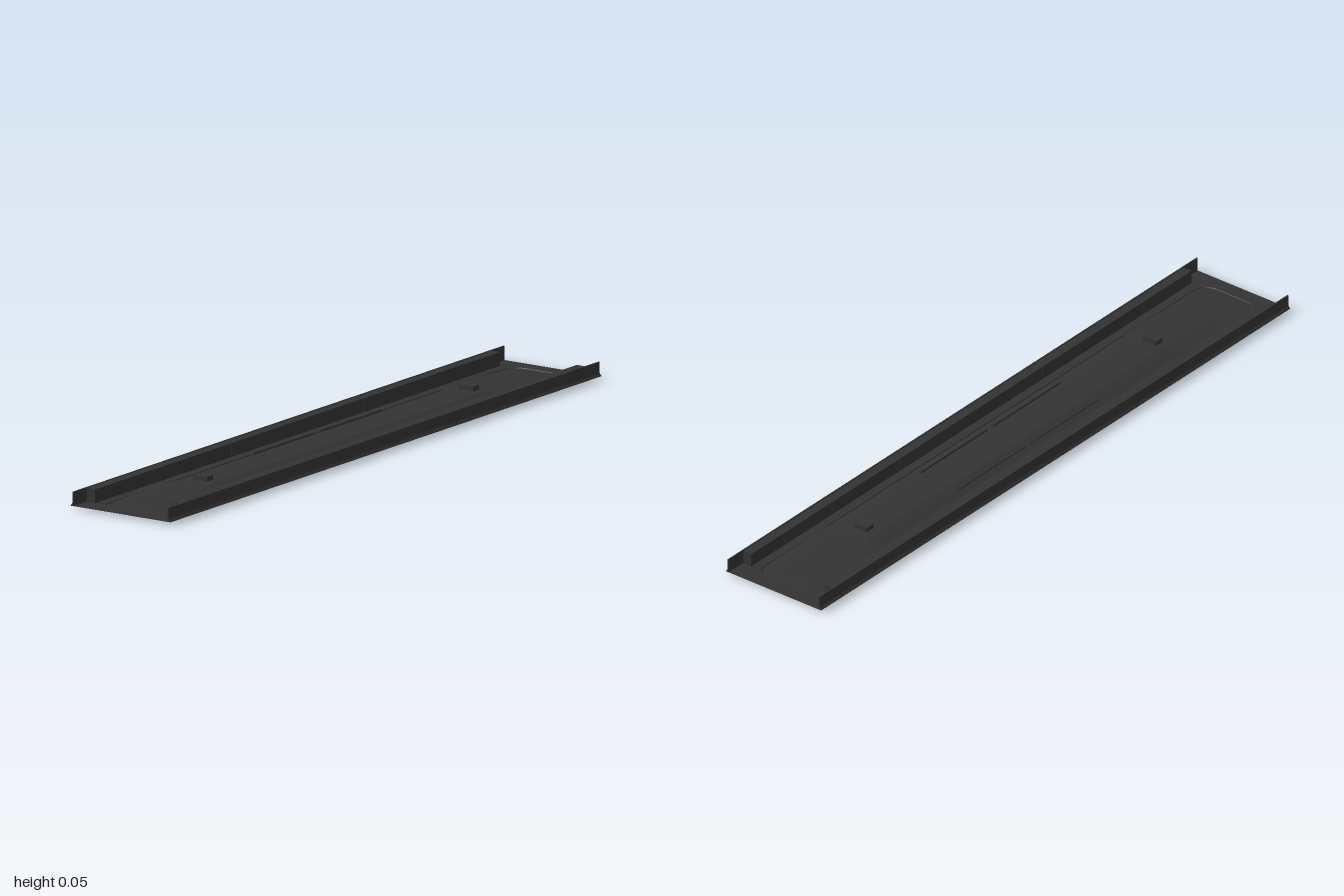
import * as THREE from 'three';

const dark = new THREE.MeshStandardMaterial({ color: 0x333333, side: THREE.DoubleSide, flatShading: true });
const PLATE_Y = 0.008;

function add(parent, name, geometry, x = 0, y = 0, z = 0) {
  const mesh = new THREE.Mesh(geometry, dark);
  mesh.name = name;
  mesh.position.set(x, y, z);
  parent.add(mesh);
  return mesh;
}

// Rounded rectangle outline, given by half sizes
function roundedRect(Path, a, b, r) {
  const p = new Path();
  p.moveTo(-a + r, -b);
  p.lineTo(a - r, -b);
  p.absarc(a - r, -b + r, r, -Math.PI / 2, 0);
  p.lineTo(a, b - r);
  p.absarc(a - r, b - r, r, 0, Math.PI / 2);
  p.lineTo(-a + r, b);
  p.absarc(-a + r, b - r, r, Math.PI / 2, Math.PI);
  p.lineTo(-a, -b + r);
  p.absarc(-a + r, -b + r, r, Math.PI, Math.PI * 1.5);
  return p;
}

// Raised floor of the tray, lofted along x
function floorGeometry() {
  const A = 0.958, B = 0.1, R = 0.045;
  // x, height of the raised centre, half width where the slope starts
  const half = [[0, 1, 0.083], [0.305, 1, 0.083], [0.62, 1, 0.083], [0.66, 0.85, 0.096],
    [0.8, 0.5, 0.096], [0.913, 0.18, 0.094], [0.935, 0.1, 0.088], [0.95, 0.03, 0.075], [A, 0, 0.05]];
  const stations = [...half.slice(1).reverse().map(([x, h, s]) => [-x, h, s]), ...half];
  const positions = [], index = [];
  const n = 8;
  for (const [x, h, s] of stations) {
    const d = Math.max(0, Math.abs(x) - (A - R));
    const w = B - R + Math.sqrt(Math.max(0, R * R - d * d));
    const foot = Math.min(s, w * 0.96), top = Math.min(0.046, w * 0.6);
    const side = [[w, 0.005], [foot, 0.006 + 0.005 * h], [(foot + top) / 2, 0.006 + 0.013 * h], [top, 0.006 + 0.02 * h]];
    const section = [...side, ...side.slice().reverse().map(([z, y]) => [-z, y])];
    for (const [z, y] of section) positions.push(x, y, z);
  }
  for (let i = 0; i < stations.length - 1; i++) {
    for (let j = 0; j < n - 1; j++) {
      const a = i * n + j, b = a + n;
      index.push(a, b, a + 1, b, b + 1, a + 1);
    }
  }
  const g = new THREE.BufferGeometry();
  g.setAttribute('position', new THREE.Float32BufferAttribute(positions, 3));
  g.setIndex(index);
  g.computeVertexNormals();
  return g;
}

export function createModel() {
  const model = new THREE.Group();
  model.name = 'channelTray';

  // Thin base plate with a rounded opening
  const plate = new THREE.Shape([[-1, -0.163], [1, -0.163], [1, 0.163], [-1, 0.163]].map(([x, y]) => new THREE.Vector2(x, y)));
  plate.holes.push(roundedRect(THREE.Path, 0.96, 0.102, 0.047));
  add(model, 'basePlate', new THREE.ShapeGeometry(plate, 8).rotateX(-Math.PI / 2), 0, PLATE_Y, 0);

  // Rim hanging below the opening, narrower at its lower edge
  const rim = roundedRect(THREE.Shape, 0.97, 0.112, 0.055);
  rim.holes.push(roundedRect(THREE.Path, 0.957, 0.099, 0.044));
  const rimGeometry = new THREE.ExtrudeGeometry(rim, { depth: PLATE_Y, bevelEnabled: false, curveSegments: 8 }).rotateX(-Math.PI / 2);
  const p = rimGeometry.attributes.position;
  for (let i = 0; i < p.count; i++) {
    if (p.getY(i) < 0.001) p.setXYZ(i, p.getX(i) * 0.994, 0, p.getZ(i) * 0.96);
  }
  rimGeometry.computeVertexNormals();
  add(model, 'trayRim', rimGeometry);
  add(model, 'trayFloor', floorGeometry());

  for (const side of [1, -1]) {
    const rail = new THREE.Group();
    rail.name = side > 0 ? 'frontRail' : 'backRail';
    model.add(rail);

    // Outer wall with a flared foot
    const wall = new THREE.Shape([[0.163, 0.008], [0.157, 0.016], [0.157, 0.047], [0.153, 0.047], [0.153, 0.008]]
      .map(([z, y]) => new THREE.Vector2(-z * side, y)));
    add(rail, 'outerWall', new THREE.ExtrudeGeometry(wall, { depth: 2, bevelEnabled: false })
      .rotateY(Math.PI / 2), -1, 0, 0);

    // Inner rail in three lengths with narrow seams
    for (const [x, length] of [[-0.6225, 0.633], [0, 0.608], [0.6225, 0.633]]) {
      add(rail, 'innerRail', new THREE.BoxGeometry(length, 0.038, 0.027), x, 0.027, side * 0.1385);
    }

    // Raised strips along the sloping floor
    for (const end of [1, -1]) {
      const strip = add(model, 'floorStrip', new THREE.BoxGeometry(0.285, 0.008, 0.013), end * 0.155, 0.0205, side * 0.064);
      strip.rotation.x = side * 0.4;
    }
  }

  for (const end of [1, -1]) {
    // Upright tabs on the floor
    add(model, 'floorTab', new THREE.BoxGeometry(0.028, 0.015, 0.046), end * 0.617, 0.0315, 0);
    // Cross ribs edging the middle panels
    add(model, 'crossRib', new THREE.BoxGeometry(0.005, 0.002, 0.09), end * 0.305, 0.0262, 0);
  }
  return model;
}
